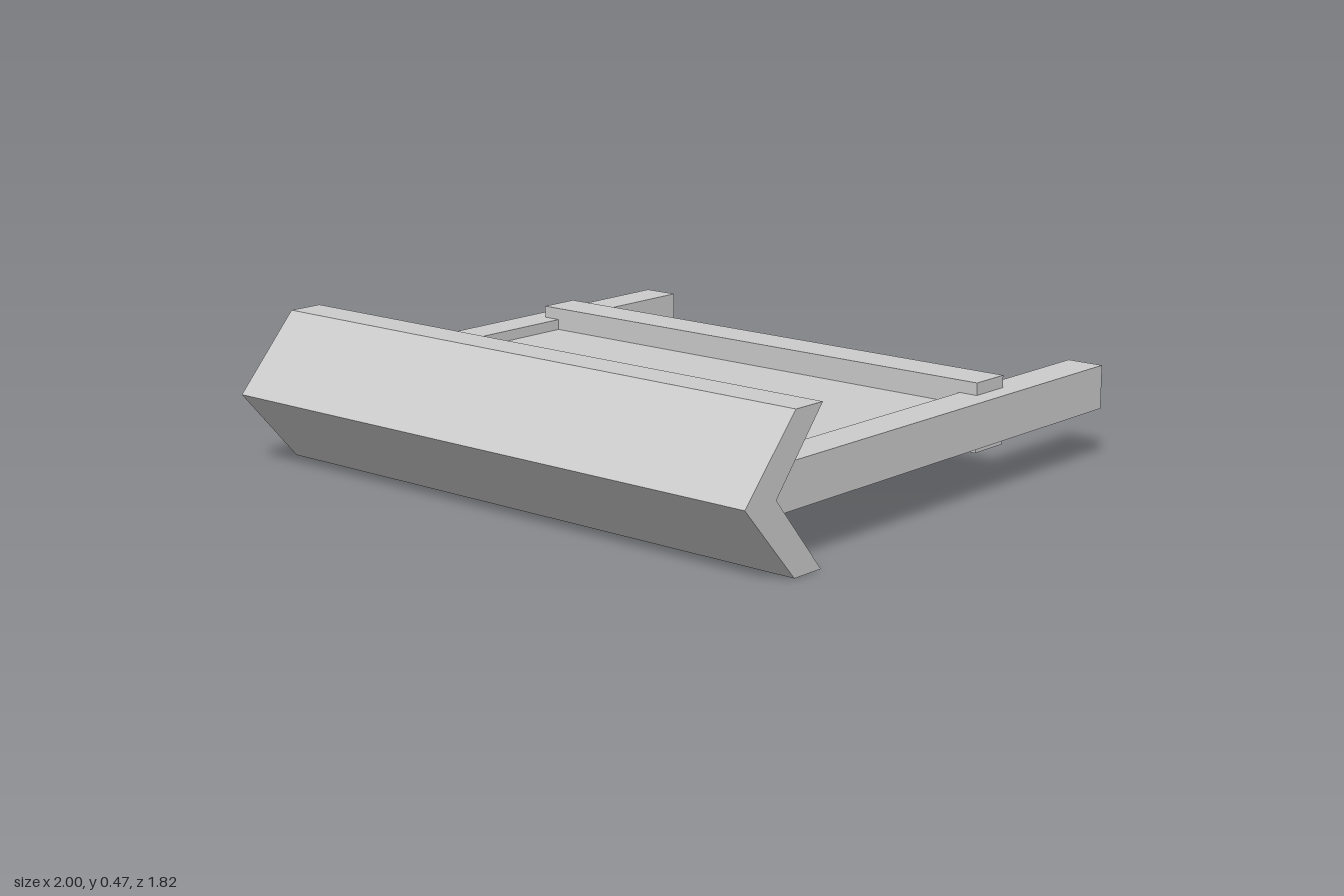
import * as THREE from 'three';

const MID = 0.2325; // height of the horizontal symmetry plane
const material = new THREE.MeshStandardMaterial({ color: 0xcccccc, flatShading: true });

// Extrude a [z, y] side profile along x, centred on the given x
function profileBar(name, profile, x, width) {
  const shape = new THREE.Shape(profile.map(([z, y]) => new THREE.Vector2(z, y + MID)));
  const geometry = new THREE.ExtrudeGeometry(shape, { depth: width, bevelEnabled: false });
  geometry.translate(0, 0, -width / 2).rotateY(-Math.PI / 2).translate(x, 0, 0);
  const mesh = new THREE.Mesh(geometry, material);
  mesh.name = name;
  return mesh;
}

// Side profile of a slab whose front end fits inside the V-shaped blade
function fittedProfile(back, half) {
  const tip = 0.78;
  const shoulder = tip - half * 0.84;
  return [[back, -half], [shoulder, -half], [tip, 0], [shoulder, half], [back, half]];
}

export function createModel() {
  const group = new THREE.Group();
  group.name = 'bladeFrame';

  // Full-width V-shaped front blade
  const blade = [
    [0.91, 0], [0.70, 0.2325], [0.585, 0.2325],
    [0.78, 0], [0.585, -0.2325], [0.70, -0.2325],
  ];
  group.add(profileBar('frontBlade', blade, 0, 2));

  // Side arms running back from the blade
  for (const [name, side] of [['leftArm', 1], ['rightArm', -1]]) {
    group.add(profileBar(name, fittedProfile(-0.905, 0.069), side * 0.88, 0.122));
  }

  // Recessed panel between the arms
  group.add(profileBar('panel', fittedProfile(-0.4, 0.035), 0, 1.64));

  // Crossbar closing the panel, lapping over and under the arms
  const crossbar = new THREE.Mesh(new THREE.BoxGeometry(1.76, 0.214, 0.137), material);
  crossbar.name = 'crossbar';
  crossbar.position.set(0, MID, -0.381);
  group.add(crossbar);

  return group;
}
